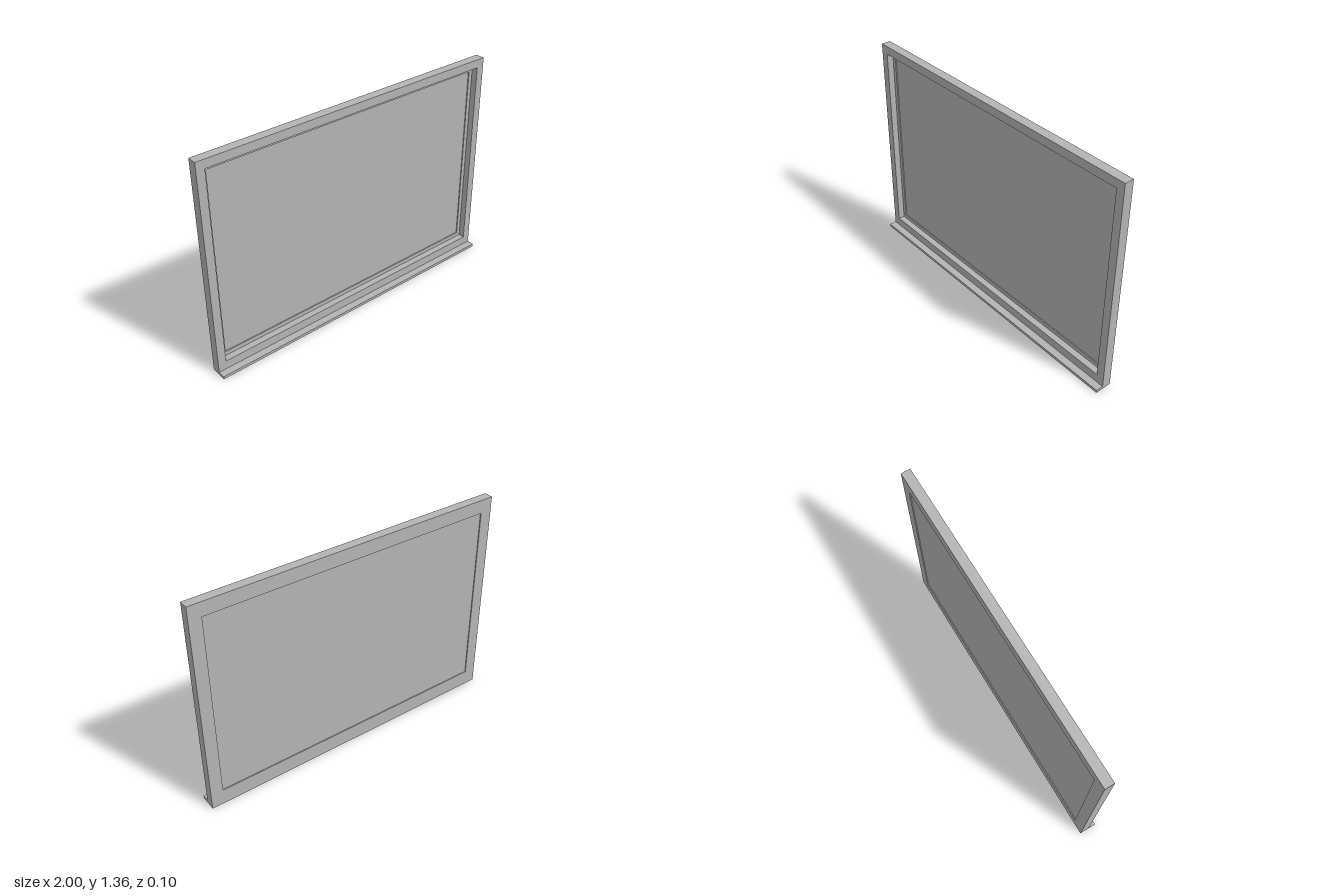
import * as THREE from 'three';

const BACK = -0.052;
const FRONT = 0.006;

// Rectangular ring extruded from z0 to z1; bounds are [x, yBottom, yTop]
function ring(outer, inner, z0, z1) {
  const trace = (path, [x, y0, y1]) => {
    path.moveTo(-x, y0);
    path.lineTo(x, y0);
    path.lineTo(x, y1);
    path.lineTo(-x, y1);
    path.closePath();
    return path;
  };
  const shape = trace(new THREE.Shape(), outer);
  shape.holes.push(trace(new THREE.Path(), inner));
  const geometry = new THREE.ExtrudeGeometry(shape, { depth: z1 - z0, bevelEnabled: false });
  return geometry.translate(0, 0, z0);
}

// Box given by half width, height range and depth range
function slab(x, y0, y1, z0, z1) {
  const geometry = new THREE.BoxGeometry(2 * x, y1 - y0, z1 - z0);
  return geometry.translate(0, (y0 + y1) / 2, (z0 + z1) / 2);
}

export function createModel() {
  const group = new THREE.Group();
  group.name = 'framedPanel';

  const grey = new THREE.MeshStandardMaterial({ color: 0xb4b4b4 });
  grey.name = 'grey';

  const add = (name, geometry) => {
    const mesh = new THREE.Mesh(geometry, grey);
    mesh.name = name;
    group.add(mesh);
  };

  const outside = [1, 0, 1.355];
  const opening = [0.95, 0.073, 1.303];
  const sight = [0.924, 0.1, 1.27];

  // Deep outer frame, with a narrow inner stop set back from its front
  add('outerFrame', ring(outside, opening, BACK, FRONT));
  add('innerFrame', ring(opening, sight, BACK, -0.034));

  // Thin panel held inside the stop
  add('panel', slab(sight[0], sight[1], sight[2], -0.046, -0.04));

  // Shallow ledge along the front bottom edge
  add('ledge', slab(1, 0, 0.018, FRONT, 0.052));

  return group;
}
